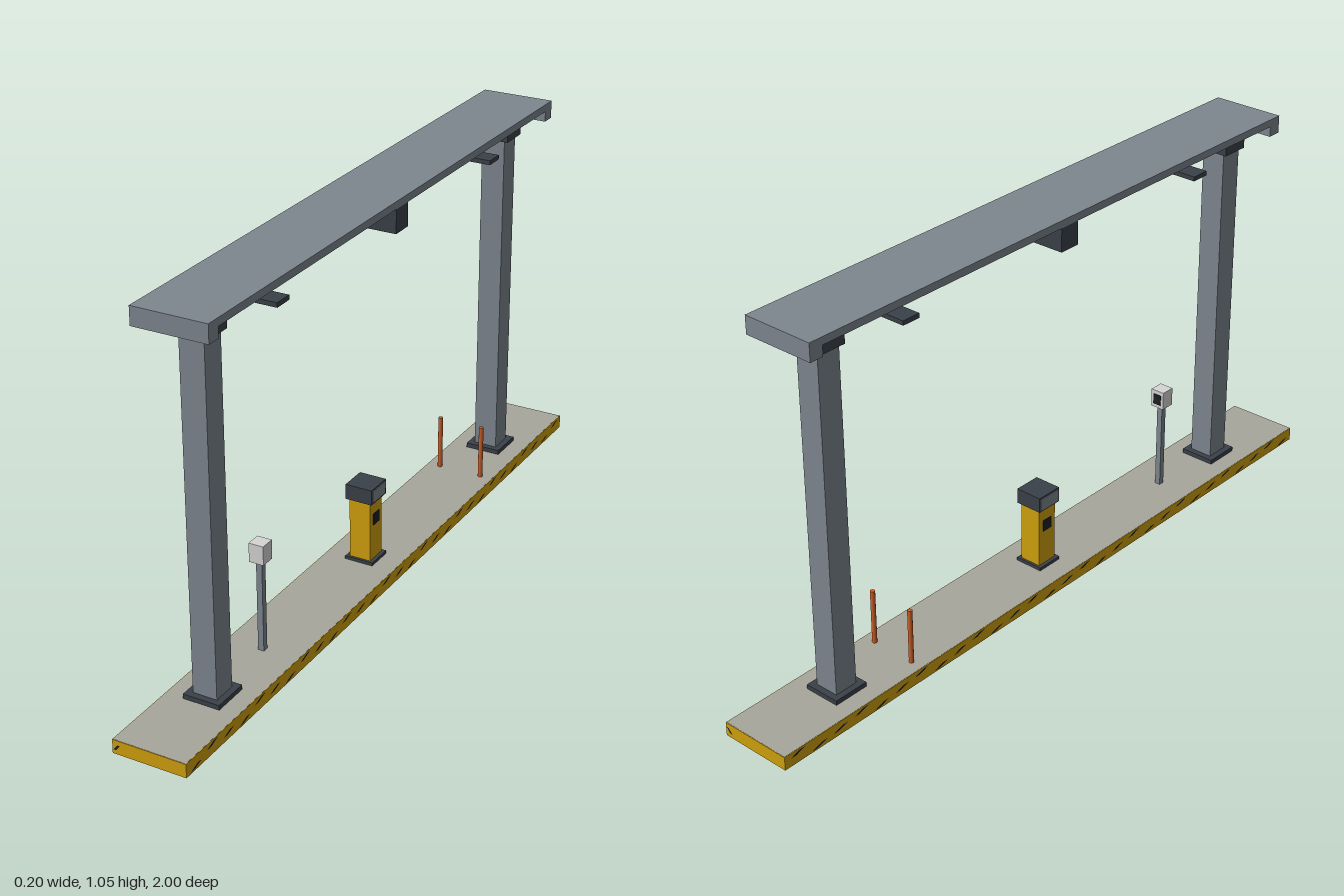
import * as THREE from 'three';

const mat = (name, color, side = THREE.FrontSide) => {
  const m = new THREE.MeshStandardMaterial({ color, side });
  m.name = name;
  return m;
};

export function createModel() {
  const steel = mat('steel grey', 0x7d868f);
  const dark = mat('dark metal', 0x3a4148);
  const concrete = mat('concrete', 0xa6a69c);
  const yellow = mat('safety yellow', 0xd0a00c);
  const orange = mat('orange', 0xd0622a);
  const white = mat('off white', 0xd4d5d4);
  const black = mat('black', 0x1c1e20, THREE.DoubleSide);

  const root = new THREE.Group();
  root.name = 'serviceIsland';
  const group = (name) => {
    const g = new THREE.Group();
    g.name = name;
    root.add(g);
    return g;
  };
  // Box given by half sizes in x and z and its bottom and top heights
  const box = (parent, name, m, hx, y0, y1, hz, x = 0, z = 0) => {
    const mesh = new THREE.Mesh(new THREE.BoxGeometry(hx * 2, y1 - y0, hz * 2), m);
    mesh.position.set(x, (y0 + y1) / 2, z);
    mesh.name = name;
    parent.add(mesh);
    return mesh;
  };

  const TOP = 0.037;

  // Raised island: thin concrete deck, yellow kerb, steel lining, open below
  const island = group('island');
  box(island, 'deck', concrete, 0.0985, 0.03, TOP + 0.0005, 0.9985);
  for (const s of [-1, 1]) {
    box(island, 'sideKerb', yellow, 0.001, 0, TOP, 1, s * 0.099);
    box(island, 'sideLining', steel, 0.001, 0.0005, 0.03, 0.996, s * 0.097);
    box(island, 'endKerb', yellow, 0.098, 0, TOP, 0.001, 0, s * 0.999);
    box(island, 'endLining', steel, 0.096, 0.0005, 0.03, 0.001, 0, s * 0.997);
  }

  // Worn hazard dashes on the kerb
  const dash = new THREE.Shape();
  dash.moveTo(-0.024, -0.005);
  dash.lineTo(-0.006, -0.005);
  dash.lineTo(0.024, 0.005);
  dash.lineTo(0.006, 0.005);
  const dashGeo = new THREE.ShapeGeometry(dash);
  for (const s of [-1, 1]) {
    for (let i = 0; i < 29; i++) {
      const d = new THREE.Mesh(dashGeo, black);
      d.name = 'hazardDash';
      d.position.set(s * 0.1003, [0.009, 0.028, 0.018][i % 3], 0.96 - i * 0.0685);
      d.rotation.y = s * Math.PI / 2;
      island.add(d);
    }
    const e = new THREE.Mesh(dashGeo, black);
    e.name = 'endHazardDash';
    e.position.set(-s * 0.088, 0.018, s * 1.0003);
    e.scale.set(0.4, 1.4, 1);
    island.add(e);
  }

  // Columns with foot plates and head brackets
  for (const s of [-1, 1]) {
    const c = group(s > 0 ? 'frontColumn' : 'backColumn');
    c.position.z = s * 0.735;
    box(c, 'footPlate', dark, 0.05, TOP, 0.05, 0.05);
    box(c, 'shaft', steel, 0.033, 0.05, 0.968, 0.033);
    box(c, 'headBracket', dark, 0.045, 0.968, 1.03, 0.04);
  }

  // Canopy with end lips, cross beam and lamps
  const canopy = group('canopy');
  box(canopy, 'roof', steel, 0.1, 1.03, 1.05, 0.85);
  box(canopy, 'crossBeam', dark, 0.1, 0.967, 1.03, 0.03);
  for (const s of [-1, 1]) {
    box(canopy, 'endLip', steel, 0.1, 1.002, 1.03, 0.019, 0, s * 0.831);
    box(canopy, 'lampHousing', dark, 0.087, 0.972, 0.984, 0.026, 0, s * 0.53);
    box(canopy, 'lampLens', white, 0.075, 0.97, 0.973, 0.016, 0, s * 0.53);
  }

  // Payment pedestal in the middle
  const pedestal = group('pedestal');
  box(pedestal, 'pedestalBase', dark, 0.04, TOP, 0.046, 0.038);
  box(pedestal, 'pedestalBody', yellow, 0.03, 0.046, 0.215, 0.031);
  box(pedestal, 'pedestalHead', dark, 0.038, 0.215, 0.257, 0.038);
  for (const s of [-1, 1]) {
    box(pedestal, 'headPanel', steel, 0.001, 0.219, 0.253, 0.034, s * 0.039);
    box(pedestal, 'display', black, 0.001, 0.145, 0.177, 0.015, s * 0.031);
  }

  // Camera post with a lens plate facing back
  const post = group('cameraPost');
  post.position.z = 0.512;
  box(post, 'postStem', steel, 0.008, TOP, 0.285, 0.008);
  box(post, 'cameraBox', white, 0.02, 0.285, 0.336, 0.02);
  box(post, 'cameraLens', black, 0.012, 0.295, 0.325, 0.001, 0, -0.021);

  // Pair of orange bollards
  for (const s of [-1, 1]) {
    const b = new THREE.Mesh(new THREE.CylinderGeometry(0.0065, 0.0065, 0.153, 10), orange);
    b.name = s > 0 ? 'leftBollard' : 'rightBollard';
    b.position.set(s * 0.063, TOP + 0.0765, -0.543);
    root.add(b);
  }
  return root;
}
